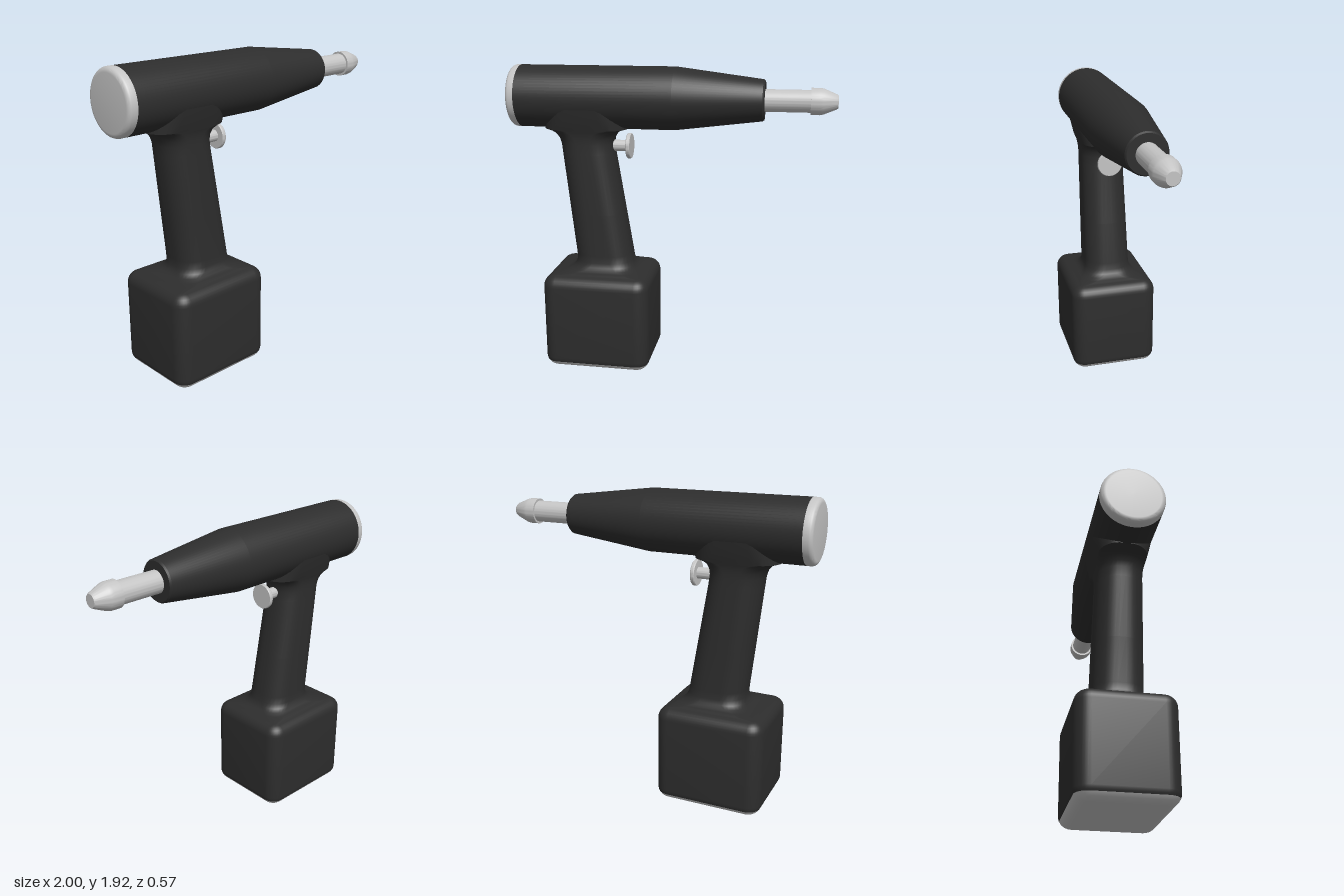
import * as THREE from 'three';
import { toCreasedNormals } from 'three/addons/utils/BufferGeometryUtils.js';

const AXIS_Y = 1.725;   // height of the barrel axis
const CORNER_STEPS = 8;

// Loft through horizontal rounded rectangles: [y, xMin, xMax, halfDepth, cornerRadius]
function loft(rings, capBottom) {
  const pos = [], index = [], n = 4 * (CORNER_STEPS + 1);
  for (const [y, x0, x1, hz, r] of rings) {
    const cx = (x0 + x1) / 2, hx = (x1 - x0) / 2;
    for (let c = 0; c < 4; c++) {
      const sx = c === 0 || c === 3 ? 1 : -1, sz = c < 2 ? -1 : 1;
      for (let k = 0; k <= CORNER_STEPS; k++) {
        const a = (c + k / CORNER_STEPS) * Math.PI / 2;
        pos.push(cx + sx * (hx - r) + r * Math.cos(a), y, sz * (hz - r) - r * Math.sin(a));
      }
    }
  }
  for (let i = 0; i < rings.length - 1; i++) {
    for (let j = 0; j < n; j++) {
      const a = i * n + j, b = i * n + (j + 1) % n;
      index.push(a, b, b + n, a, b + n, a + n);
    }
  }
  if (capBottom) {
    const [y, x0, x1] = rings[0];
    pos.push((x0 + x1) / 2, y, 0);
    for (let j = 0; j < n; j++) index.push(pos.length / 3 - 1, (j + 1) % n, j);
  }
  const g = new THREE.BufferGeometry();
  g.setAttribute('position', new THREE.Float32BufferAttribute(pos, 3));
  g.setIndex(index);
  return toCreasedNormals(g, 0.6);
}

// Turned part along x: profile of [x, radius], listed from back to front
function turned(profile) {
  const g = new THREE.LatheGeometry(profile.map(([x, r]) => new THREE.Vector2(r, x)), 64);
  g.rotateZ(-Math.PI / 2);
  return toCreasedNormals(g, 0.4);
}

// Ring of the battery box, pulled in by d
const boxRing = (y, d) => [y, -0.79 + d, -0.11 - d, 0.285 - d, Math.max(0.085 - d, 0.015)];

export function createModel() {
  const black = new THREE.MeshStandardMaterial({ color: 0x2d2d2d });
  black.name = 'blackHousing';
  const steel = new THREE.MeshStandardMaterial({ color: 0xc4c4c4 });
  steel.name = 'lightGreyMetal';

  const group = new THREE.Group();
  group.name = 'powerDrill';
  const add = (name, geometry, material, y = 0) => {
    const mesh = new THREE.Mesh(geometry, material);
    mesh.name = name;
    mesh.position.y = y;
    group.add(mesh);
  };

  // Barrel with tapered nose
  add('barrel', turned([[-0.945, 0], [-0.945, 0.192], [0.03, 0.192], [0.56, 0.125],
    [0.57, 0.117], [0.57, 0]]), black, AXIS_Y);

  // Rounded rear cap
  const cap = [[-1, 0]];
  for (let i = 0; i <= 6; i++) {
    const a = i / 6 * Math.PI / 2;
    cap.push([-1 + 0.03 * (1 - Math.cos(a)), 0.162 + 0.03 * Math.sin(a)]);
  }
  cap.push([-0.945, 0.192], [-0.945, 0]);
  add('rearCap', turned(cap), steel, AXIS_Y);

  // Spindle and bit tip
  add('spindle', turned([[0.5, 0], [0.5, 0.067], [0.85, 0.067], [0.85, 0]]), steel, AXIS_Y);
  add('bitTip', turned([[0.84, 0], [0.84, 0.08], [0.895, 0.08], [0.915, 0.076],
    [0.99, 0.045], [1, 0.038], [1, 0]]), steel, AXIS_Y);

  // Trigger: stem and button
  add('trigger', turned([[-0.42, 0], [-0.42, 0.035], [-0.275, 0.035], [-0.275, 0.076],
    [-0.27, 0.08], [-0.255, 0.08], [-0.25, 0.076], [-0.25, 0]]), steel, 1.425);

  // Battery bottom plate; its rounding carries on into the housing
  const R = 0.07, split = Math.acos(0.03 / R);
  const rounding = (from, to, steps) => Array.from({ length: steps + 1 }, (_, i) => {
    const t = from + (to - from) * i / steps;
    return boxRing(R * (1 - Math.cos(t)), R * (1 - Math.sin(t)));
  });
  add('bottomPlate', loft(rounding(0, split, 6), true), steel);

  // Battery box, waist fillet, grip and flare into the barrel
  const shoulder = [];
  for (let i = 0; i <= 6; i++) {
    const a = i / 6 * 1.4;
    shoulder.push(boxRing(0.545 + 0.072 * Math.sin(a), 0.075 * (1 - Math.cos(a))));
  }
  add('handle', loft([
    ...rounding(split, Math.PI / 2, 3),
    ...shoulder,
    [0.623, -0.69, -0.185, 0.215, 0.07],
    [0.63, -0.665, -0.20, 0.194, 0.09],
    [0.64, -0.64, -0.22, 0.175, 0.11],
    [0.657, -0.621, -0.235, 0.16, 0.12],
    [0.685, -0.611, -0.246, 0.151, 0.125],
    [0.73, -0.613, -0.252, 0.149, 0.125],
    [1.0, -0.644, -0.295, 0.145, 0.125],
    [1.38, -0.687, -0.355, 0.139, 0.125],
    [1.44, -0.694, -0.362, 0.138, 0.125],
    [1.475, -0.705, -0.357, 0.139, 0.125],
    [1.505, -0.727, -0.34, 0.142, 0.125],
    [1.523, -0.755, -0.312, 0.146, 0.125],
    [1.534, -0.795, -0.27, 0.148, 0.13],
    [1.58, -0.80, -0.265, 0.161, 0.15],
    [1.63, -0.80, -0.265, 0.175, 0.165],
    [1.69, -0.80, -0.265, 0.187, 0.18],
  ], false), black);

  return group;
}
